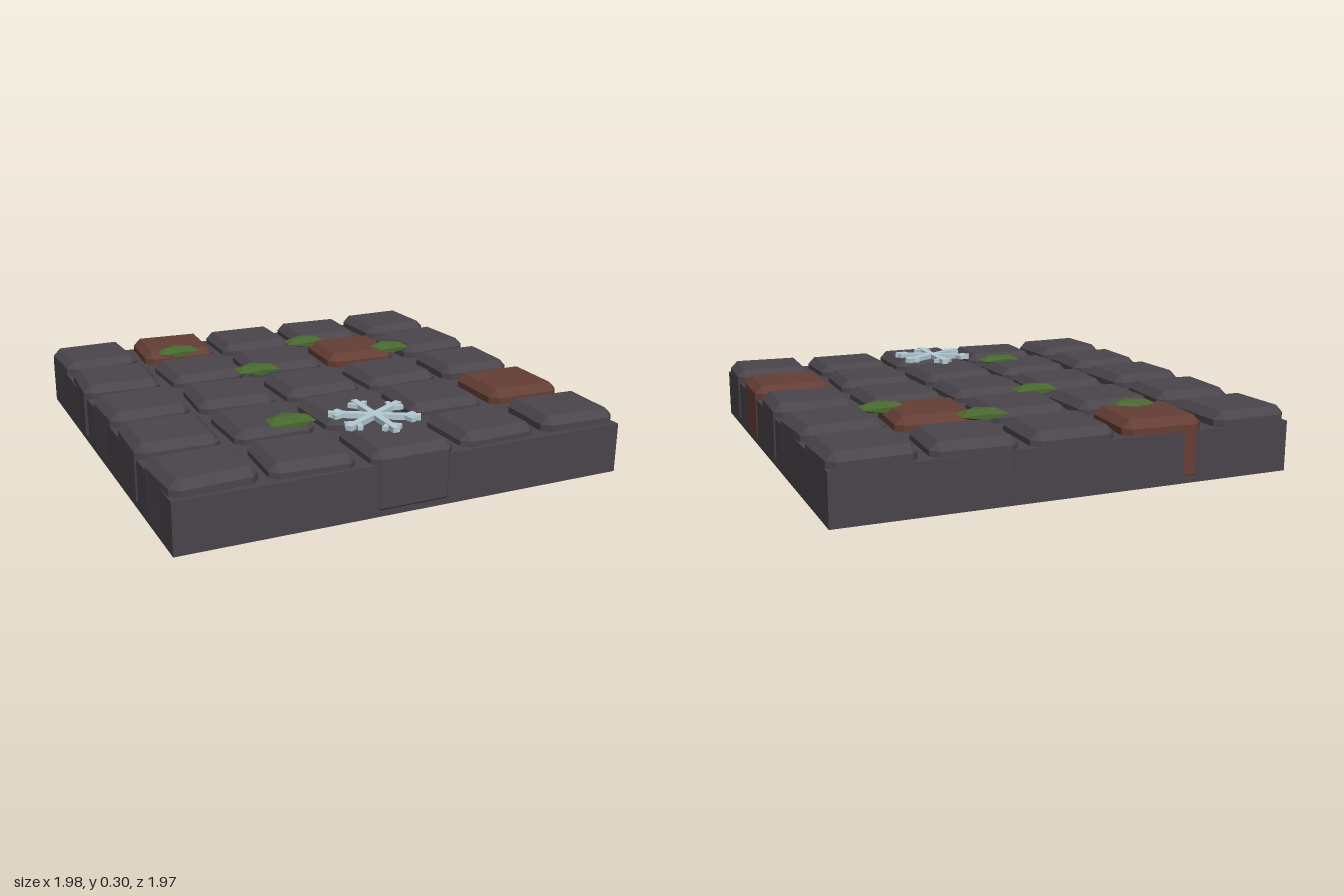
import * as THREE from 'three';
import { ConvexGeometry } from 'three/addons/geometries/ConvexGeometry.js';

const flat = (name, color) => {
  const m = new THREE.MeshStandardMaterial({ color, flatShading: true });
  m.name = name;
  return m;
};

// Box with every edge chamfered, standing on y = 0
function chamferedBox(w, h, d, c) {
  const pts = [];
  const half = [w / 2, h / 2, d / 2];
  for (const sx of [-1, 1]) for (const sy of [-1, 1]) for (const sz of [-1, 1]) {
    for (let axis = 0; axis < 3; axis++) {
      const p = [sx, sy, sz].map((s, i) => s * (half[i] - (i === axis ? 0 : c)));
      pts.push(new THREE.Vector3(p[0], p[1] + h / 2, p[2]));
    }
  }
  return new ConvexGeometry(pts);
}

// Paving rows from back to front, with the turn of each stone
const ROWS = [
  { z: -0.815, depth: 0.325, turns: [0.03, -0.06, -0.01, -0.05, 0.03] },
  { z: -0.41, depth: 0.33, turns: [-0.06, 0.03, -0.03, -0.05, 0.06] },
  { z: 0, depth: 0.32, turns: [0.03, -0.06, 0.03, 0.04, -0.03] },
  { z: 0.395, depth: 0.33, turns: [-0.03, 0.02, 0.04, -0.03, -0.02] },
  { z: 0.795, depth: 0.31, turns: [0.06, -0.05, 0, 0.03, -0.04] },
];
const BRICKS = ['0-1', '1-3', '3-4'];
const MOSS = [[-0.42, -0.68], [0.23, -0.585], [0.57, -0.315], [-0.175, -0.23], [-0.32, 0.5]];

export function createModel() {
  const model = new THREE.Group();
  const mortar = flat('mortar', 0x49444a);
  const stone = flat('darkStone', 0x4a454b);
  const brick = flat('redBrick', 0x643e35);
  const moss = flat('moss', 0x4a6a30);
  const ice = flat('ice', 0xb4cbd4);

  const add = (parent, name, geometry, material, x, y, z) => {
    const mesh = new THREE.Mesh(geometry, material);
    mesh.name = name;
    mesh.position.set(x, y, z);
    parent.add(mesh);
    return mesh;
  };

  // Slab under the paving
  add(model, 'baseSlab', new THREE.BoxGeometry(1.96, 0.215, 1.955), mortar, 0, 0.1075, -0.005);

  // Paving stones, each slightly turned; the middle front one stands proud of the slab
  const paving = new THREE.Group();
  paving.name = 'paving';
  model.add(paving);
  ROWS.forEach(({ z, depth, turns }, r) => turns.forEach((turn, c) => {
    const isBrick = BRICKS.includes(`${r}-${c}`);
    const proud = r === 4 && c === 2 ? 0.03 : 0;
    const width = c === 2 ? 0.36 : 0.35;
    const height = isBrick || c % 4 === 0 ? 0.274 : 0.268;
    add(paving, isBrick ? 'brickPaver' : 'stonePaver', chamferedBox(width, height, depth + proud, 0.033),
      isBrick ? brick : stone, (c - 2) * 0.4035, 0.002, z + proud / 2).rotation.y = turn;
  }));

  // Flattened moss clumps
  for (const [x, z] of MOSS) {
    add(model, 'mossClump', new THREE.IcosahedronGeometry(1, 0), moss, x, 0.268, z).scale.set(0.117, 0.024, 0.082);
  }

  // Frost star: six arms, each with a pair of twigs
  const frost = new THREE.Group();
  frost.name = 'frostStar';
  frost.position.set(-0.003, 0.287, 0.637);
  model.add(frost);
  for (let i = 0; i < 6; i++) {
    const arm = new THREE.Group();
    arm.name = 'frostArm';
    arm.rotation.y = i * Math.PI / 3;
    frost.add(arm);
    add(arm, 'armBar', new THREE.BoxGeometry(0.03, 0.022, 0.19), ice, 0, 0, 0.095);
    for (const side of [-1, 1]) {
      add(arm, 'twig', new THREE.BoxGeometry(0.022, 0.018, 0.056), ice, side * 0.019, 0, 0.143)
        .rotation.y = side * Math.PI / 4;
    }
  }
  return model;
}
